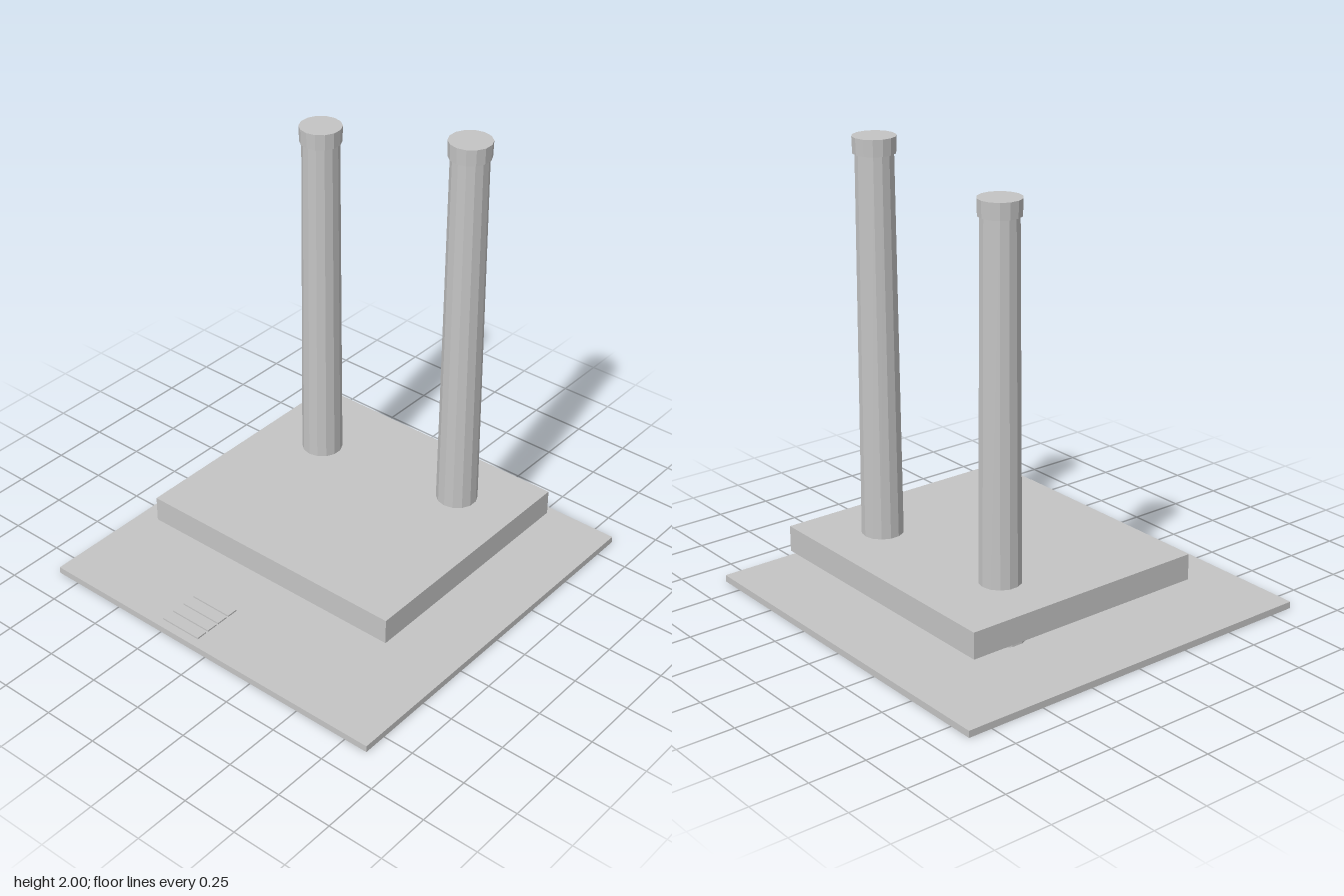
import * as THREE from 'three';

const grey = new THREE.MeshStandardMaterial({ color: 0xc4c4c4 });
grey.name = 'plain grey';
const facetedGrey = grey;
facetedGrey.flatShading = true;

export function createModel() {
  const model = new THREE.Group();
  model.name = 'twinChimneyBlock';

  const add = (name, geometry, x, y, z, parent = model) => {
    const mesh = new THREE.Mesh(geometry, grey);
    mesh.name = name;
    mesh.position.set(x, y, z);
    parent.add(mesh);
    return mesh;
  };
  // Box given by its lower and upper corners
  const box = (name, x0, y0, z0, x1, y1, z1) =>
    add(name, new THREE.BoxGeometry(x1 - x0, y1 - y0, z1 - z0),
      (x0 + x1) / 2, (y0 + y1) / 2, (z0 + z1) / 2);

  // Thin ground plate and raised slab
  box('groundPlate', -0.86, 0, -0.86, 0.86, 0.03, 0.86);
  box('raisedSlab', -0.64, 0.17, -0.663, 0.637, 0.285, 0.468);

  // Row of flat stripes near the front edge
  for (let i = 0; i < 4; i++) {
    const z = 0.584 + i * 0.062;
    box('stripe', -0.275, 0.03, z, -0.074, 0.037, z + 0.051);
  }

  // Tapered stack with a flared foot below the slab and a collar on top
  const stack = (name, x, z, top) => {
    const group = new THREE.Group();
    group.name = name;
    group.position.set(x, 0, z);
    model.add(group);
    const part = (partName, rTop, rBottom, y0, y1) =>
      add(partName, new THREE.CylinderGeometry(rTop, rBottom, y1 - y0, 14), 0, (y0 + y1) / 2, 0, group);
    part('foot', 0.1, 0.113, 0.04, 0.21);
    part('shaft', 0.08, 0.091, 0.2, top - 0.06);
    part('collar', 0.091, 0.089, top - 0.07, top);
  };
  stack('rightStack', -0.348, -0.3, 1.875);
  stack('leftStack', 0.348, -0.382, 2);

  return model;
}
